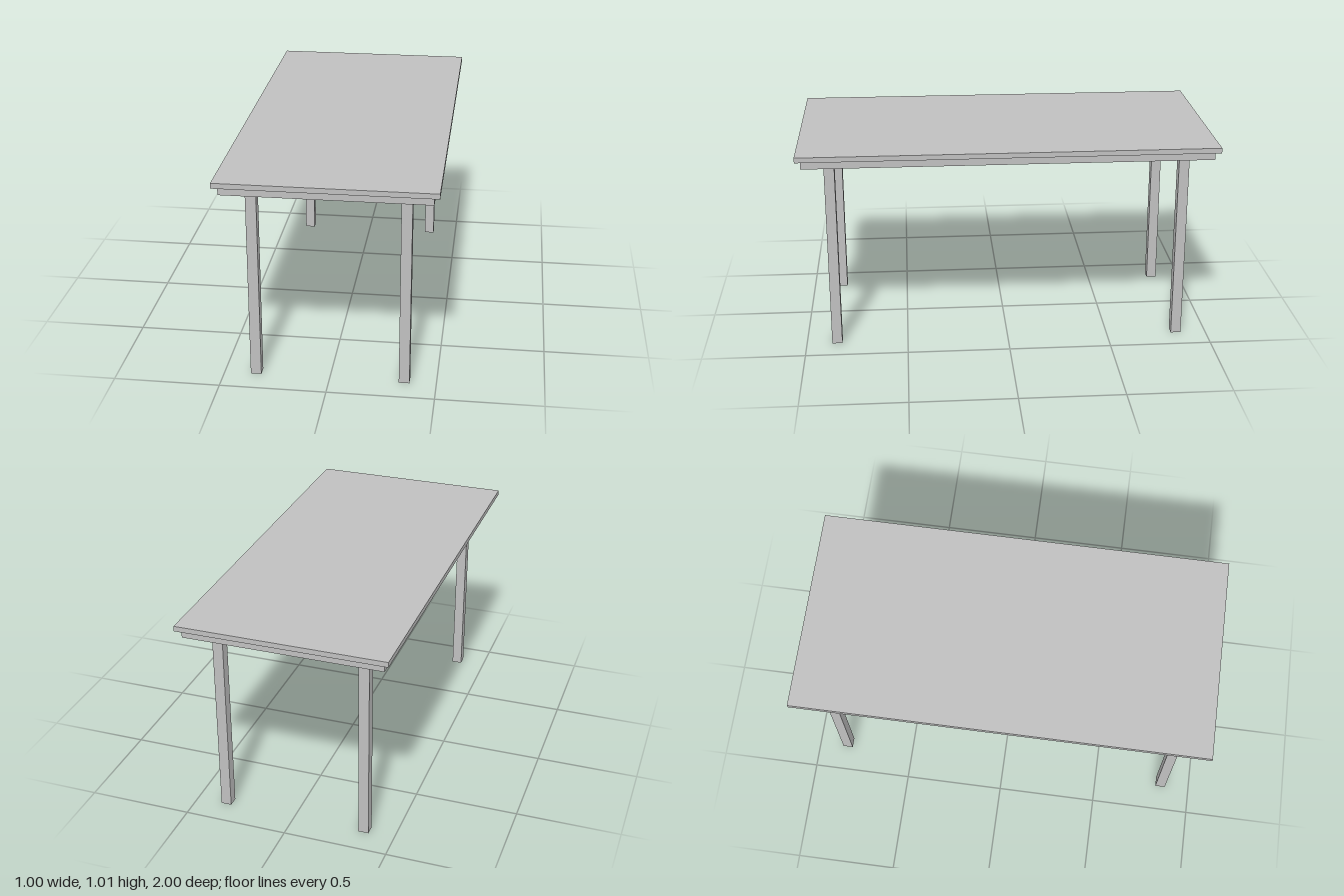
import * as THREE from 'three';

export function createModel() {
  const table = new THREE.Group();
  table.name = 'table';
  const grey = new THREE.MeshStandardMaterial({ color: 0xc0c0c0 });
  grey.name = 'light grey';

  const addBox = (name, size, position) => {
    const mesh = new THREE.Mesh(new THREE.BoxGeometry(...size), grey);
    mesh.name = name;
    mesh.position.set(...position);
    table.add(mesh);
  };

  const underside = 0.99;
  const topThickness = 0.025;
  const apronHeight = 0.04;
  const apronThickness = 0.025;

  // Table top
  addBox('tableTop', [1, topThickness, 2], [0, underside + topThickness / 2, 0]);

  // Hollow apron frame, set in from the edge of the top
  const apronY = underside - apronHeight / 2;
  const halfX = 0.475, halfZ = 0.975;
  for (const s of [1, -1]) {
    addBox(s > 0 ? 'frontApron' : 'backApron',
      [halfX * 2, apronHeight, apronThickness],
      [0, apronY, s * (halfZ - apronThickness / 2)]);
    addBox(s > 0 ? 'leftApron' : 'rightApron',
      [apronThickness, apronHeight, (halfZ - apronThickness) * 2],
      [s * (halfX - apronThickness / 2), apronY, 0]);
  }

  // Square legs reaching up to the underside of the top
  for (const x of [1, -1]) {
    for (const z of [1, -1]) {
      addBox((z > 0 ? 'front' : 'back') + (x > 0 ? 'Left' : 'Right') + 'Leg',
        [0.05, underside, 0.05], [x * 0.35, underside / 2, z * 0.85]);
    }
  }
  return table;
}
